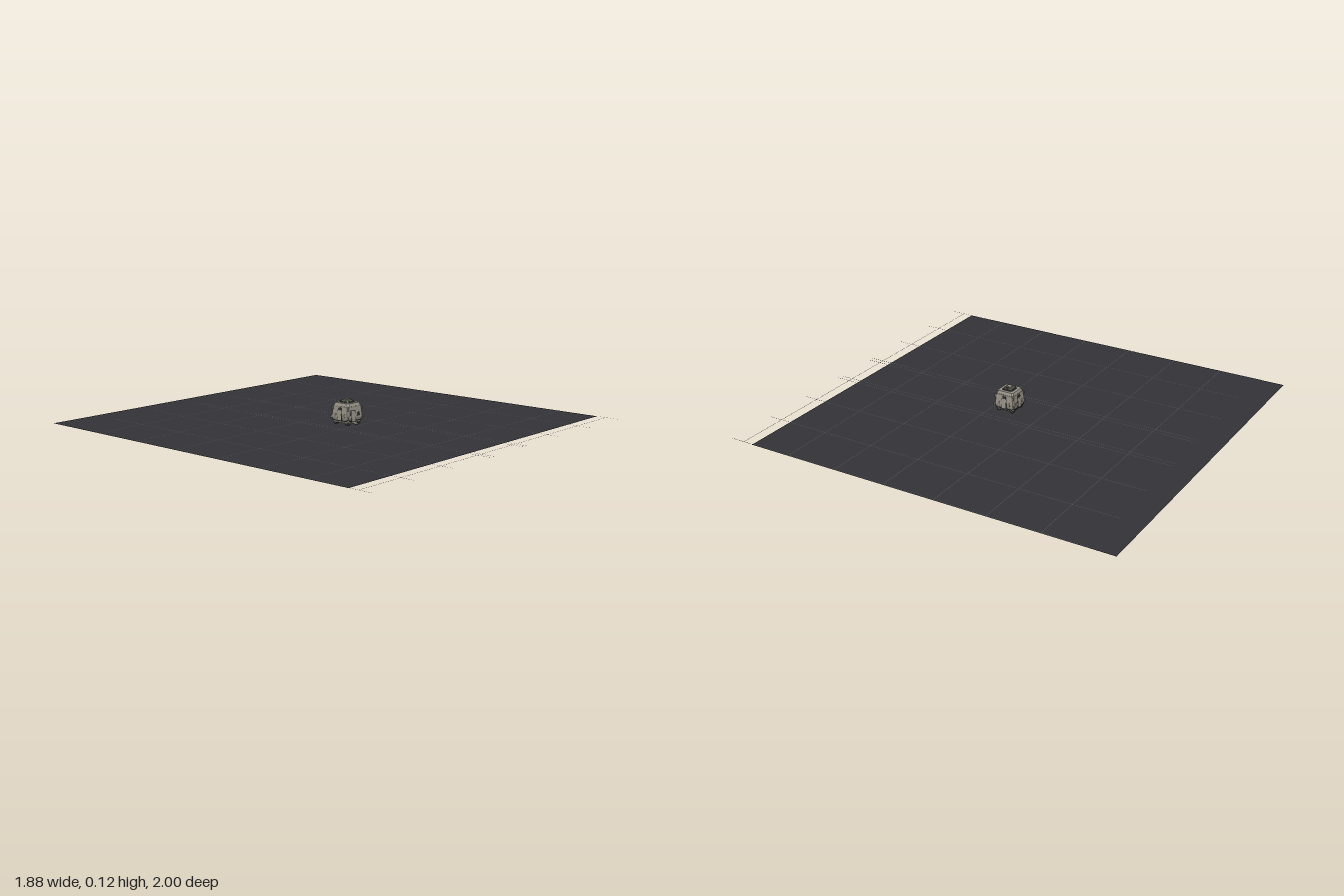
import * as THREE from 'three';

const mat = (color, side = THREE.FrontSide) =>
  new THREE.MeshStandardMaterial({ color, flatShading: true, side });

const HULL = mat(0x989286), TRIM = mat(0x77736a), DARK = mat(0x35363a);
const GLASS = mat(0x2a333b), GREEN = mat(0x6f7a62);
const FLOOR = mat(0x323338, THREE.DoubleSide), LINE = mat(0x55575c, THREE.DoubleSide);

function add(parent, name, geometry, material, x = 0, y = 0, z = 0) {
  const mesh = new THREE.Mesh(geometry, material);
  mesh.name = name;
  mesh.position.set(x, y, z);
  parent.add(mesh);
  return mesh;
}
const box = (w, h, d) => new THREE.BoxGeometry(w, h, d);

// Capped loft through chamfered squares given as [height, half width]
function loft(levels, chamfer) {
  const pos = [], index = [], n = 8;
  for (const [y, h] of levels) {
    const c = h - chamfer;
    for (const [x, z] of [[h, -c], [h, c], [c, h], [-c, h], [-h, c], [-h, -c], [-c, -h], [c, -h]])
      pos.push(x, y, z);
  }
  for (let k = 0; k < levels.length - 1; k++)
    for (let i = 0; i < n; i++) {
      const a = k * n + i, b = k * n + (i + 1) % n;
      index.push(a, a + n, b, b, a + n, b + n);
    }
  const top = (levels.length - 1) * n;
  for (let i = 1; i < n - 1; i++) {
    index.push(0, i, i + 1);
    index.push(top, top + i + 1, top + i);
  }
  const g = new THREE.BufferGeometry();
  g.setAttribute('position', new THREE.Float32BufferAttribute(pos, 3));
  g.setIndex(index);
  g.computeVertexNormals();
  return g;
}

// Flat ground with thin grid strips, shifted towards the front
function buildGround(group) {
  const size = 1.88;
  add(group, 'ground', new THREE.PlaneGeometry(size, size).rotateX(-Math.PI / 2), FLOOR, 0, 0, -0.06);
  const lineW = 0.002;
  for (const x of [-0.939, -0.679, -0.414, -0.15, -0.123, 0.115, 0.142, 0.405, 0.67, 0.937])
    add(group, 'gridLineLengthways', new THREE.PlaneGeometry(lineW, size).rotateX(-Math.PI / 2), LINE, x, 0.001, 0.06);
  for (let i = 0; i < 7; i++)
    add(group, 'gridLineCrossways', new THREE.PlaneGeometry(size, lineW).rotateX(-Math.PI / 2), LINE,
      0, 0.001, -0.656 + i * 0.2645);
}

// One wall's fittings, laid out on a wall facing +z
function buildWall(kind) {
  const wall = new THREE.Group();
  wall.name = kind + 'Wall';
  const panel = (name, w, h, d, m, x, y, out = 0) => {
    const p = add(wall, name, box(w, h, d), m, x, y, 0.055 - (y - 0.035) * 0.1 + out);
    p.rotation.x = -0.1;
  };
  if (kind === 'front') {
    panel('doorFrame', 0.034, 0.054, 0.003, DARK, -0.018, 0.045);
    panel('door', 0.028, 0.049, 0.004, HULL, -0.018, 0.044, 0.0005);
    panel('windowFrame', 0.022, 0.022, 0.003, TRIM, 0.022, 0.05);
    panel('window', 0.014, 0.015, 0.004, GLASS, 0.022, 0.05, 0.0005);
    const ramp = add(wall, 'ramp', box(0.027, 0.003, 0.03), TRIM, -0.018, 0.012, 0.065);
    ramp.rotation.x = 0.28;
  } else {
    panel('hatchFrame', 0.028, 0.052, 0.003, DARK, 0, 0.047);
    panel('hatch', 0.023, 0.047, 0.004, HULL, 0, 0.047, 0.0005);
    for (const s of [-1, 1]) panel('vent', 0.012, 0.016, 0.003, TRIM, s * 0.028, 0.045);
    panel('sideBox', 0.018, 0.01, 0.005, DARK, 0, 0.078, 0.001);
  }
  panel('lowerRail', 0.088, 0.004, 0.003, DARK, 0, 0.02, -0.003);
  return wall;
}

function buildCabin() {
  const cabin = new THREE.Group();
  cabin.name = 'cabin';
  cabin.position.set(-0.001, 0, 0.058);
  add(cabin, 'hull', loft([[0.01, 0.048], [0.035, 0.055], [0.085, 0.05], [0.104, 0.043]], 0.006), HULL);
  add(cabin, 'upperBand', loft([[0.085, 0.0515], [0.09, 0.0495]], 0.006), TRIM);

  ['front', 'left', 'back', 'right'].forEach((kind, i) => {
    const wall = buildWall(kind);
    wall.rotation.y = i * Math.PI / 2;
    cabin.add(wall);
  });

  // Feet and corner guards
  for (const sx of [-1, 1])
    for (const sz of [-1, 1]) {
      add(cabin, 'foot', box(0.014, 0.014, 0.014), DARK, sx * 0.037, 0.007, sz * 0.037);
      for (const y of [0.035, 0.078])
        add(cabin, 'cornerGuard', box(0.01, 0.014, 0.01), TRIM,
          sx * (0.0525 - (y - 0.035) * 0.1), y, sz * (0.0525 - (y - 0.035) * 0.1));
    }

  // Roof hatch
  add(cabin, 'roofCollar', loft([[0.103, 0.028], [0.109, 0.026]], 0.005), DARK);
  add(cabin, 'roofHatch', loft([[0.108, 0.022], [0.116, 0.02]], 0.005), GREEN);
  add(cabin, 'hatchLid', box(0.024, 0.004, 0.024), HULL, 0, 0.118, 0);
  add(cabin, 'roofVent', box(0.008, 0.008, 0.012), DARK, 0.018, 0.114, 0);
  return cabin;
}

export function createModel() {
  const group = new THREE.Group();
  group.name = 'cabinOnGround';
  buildGround(group);
  group.add(buildCabin());
  return group;
}
